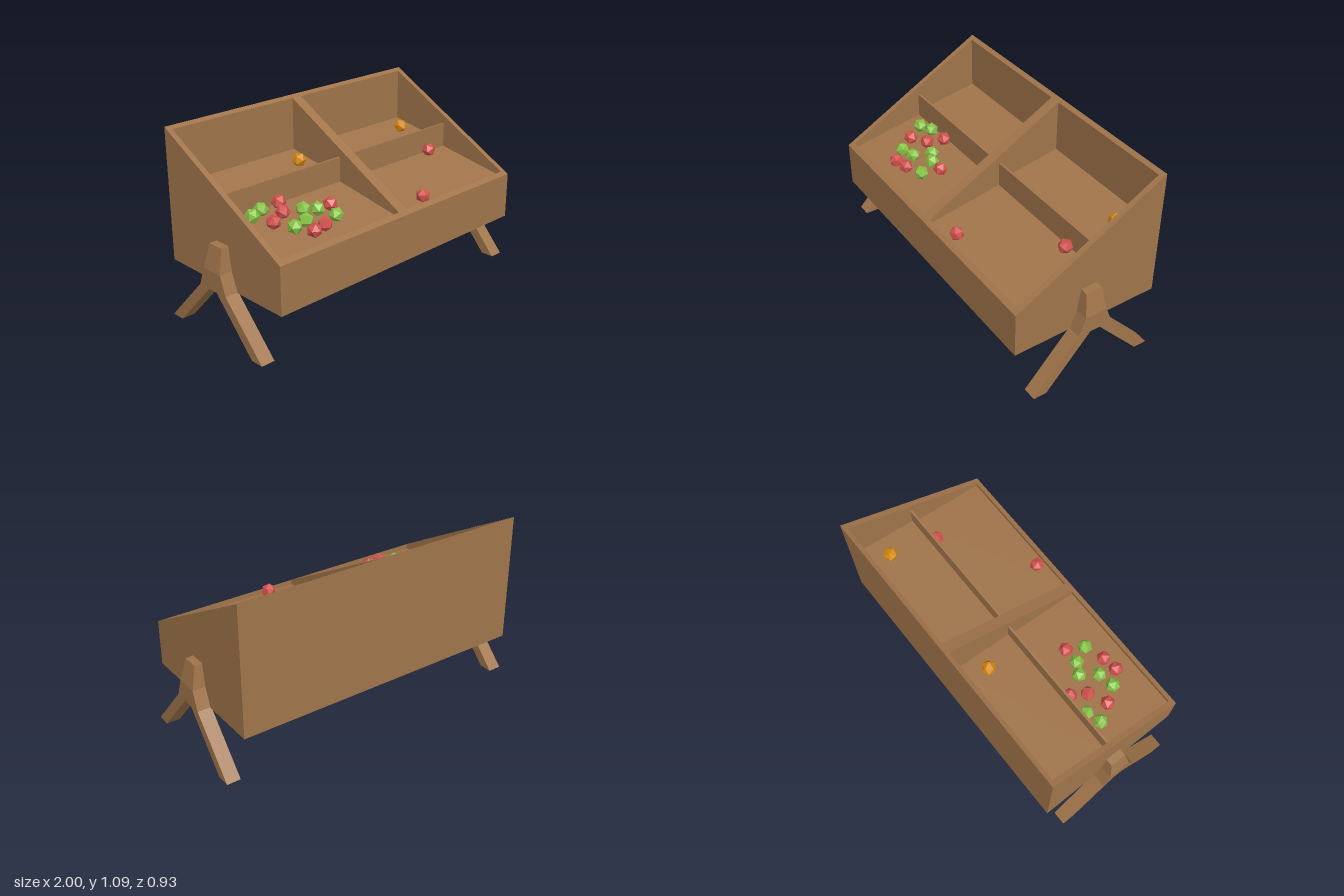
import * as THREE from 'three';

const mat = (name, color) => {
  const m = new THREE.MeshStandardMaterial({ color });
  m.name = name;
  return m;
};

export function createModel() {
  const group = new THREE.Group();
  group.name = 'produceStand';
  const wood = mat('wood', 0xa0744a);
  const fruitMats = {
    red: mat('red fruit', 0xd0504c),
    green: mat('green fruit', 0x86c244),
    orange: mat('orange fruit', 0xd68a08),
  };

  const add = (name, geo, material, parent = group) => {
    const mesh = new THREE.Mesh(geo, material);
    mesh.name = name;
    parent.add(mesh);
    return mesh;
  };

  // Profile of [z, y] points extruded along x from x0 to x1
  const extrudeX = (pts, x0, x1) => {
    const shape = new THREE.Shape(pts.map(([z, y]) => new THREE.Vector2(-z, y)));
    const geo = new THREE.ExtrudeGeometry(shape, { depth: x1 - x0, bevelEnabled: false });
    return geo.rotateY(Math.PI / 2).translate(x0, 0, 0);
  };

  // Bin shell: sloping rim, front at z = 0.465
  const W = 0.922, D = 0.465, B = 0.31, T = 0.033;
  const rim = z => 0.59 + (D - z) * 0.543;
  const slab = (z0, z1) => [[z0, B], [z1, B], [z1, rim(z1)], [z0, rim(z0)]];
  const inX = W - T;
  add('leftSide', extrudeX(slab(-D, D), inX, W), wood);
  add('rightSide', extrudeX(slab(-D, D), -W, -inX), wood);
  add('frontBoard', extrudeX(slab(D - 0.03, D), -inX, inX), wood);
  add('backBoard', extrudeX(slab(-D, -D + 0.026), -inX, inX), wood);
  add('centreDivider', extrudeX(slab(-D + 0.026, D - 0.03), -0.034, 0.032), wood);

  // Two stepped, gently sloping floors with a lip between them
  const lower = z => 0.655 - 0.18 * z;
  const upper = z => 0.69 - 0.18 * (z + 0.04);
  for (const [side, x0, x1] of [['right', -inX, -0.034], ['left', 0.032, inX]]) {
    const f = D - 0.03, b = -D + 0.026, s0 = -0.046, s1 = -0.032;
    add(side + 'LowerFloor', extrudeX([[s1, B], [f, B], [f, lower(f)], [s1, lower(s1)]], x0, x1), wood);
    add(side + 'StepLip', extrudeX([[s0, B], [s1, B], [s1, 0.812], [s0, 0.812]], x0, x1), wood);
    add(side + 'UpperFloor', extrudeX([[b, B], [s0, B], [s0, upper(s0)], [b, upper(b)]], x0, x1), wood);
  }

  // Forked legs: tapered head above two splayed feet
  const mirrorZ = half => [...half, ...half.slice().reverse().map(([z, y]) => [-z, y])];
  for (const [name, side, foot] of [['leftLeg', 1, 0.003], ['rightLeg', -1, 0.02]]) {
    const leg = new THREE.Group();
    leg.name = name;
    group.add(leg);
    const span = side > 0 ? [0.916, 1] : [-1, -0.916];
    const fork = mirrorZ([[0.07, 0.425], [0.11, 0.315], [0.39, foot], [0.308, foot], [0.032, 0.312]]);
    add(name + 'Fork', extrudeX(fork, ...span), wood, leg);
    const head = extrudeX(mirrorZ([[0.05, 0.563], [0.07, 0.425]]), ...span);
    const p = head.attributes.position;
    for (let i = 0; i < p.count; i++) {
      if (p.getY(i) > 0.5 && Math.abs(p.getX(i)) > 0.95) p.setX(i, side * 0.968);
    }
    head.computeVertexNormals();
    add(name + 'Head', head, wood, leg);
  }

  // Faceted fruit resting on the floors, as [x, z]
  const fruit = {
    red: [[-0.53, 0], [-0.58, 0.09], [-0.69, 0.145], [-0.3, 0.165], [-0.56, 0.32],
      [-0.47, 0.305], [0.71, 0], [0.23, 0.38]],
    green: [[-0.75, 0.04], [-0.665, 0.01], [-0.465, 0.125], [-0.395, 0.165],
      [-0.625, 0.24], [-0.53, 0.22], [-0.35, 0.265]],
    orange: [[-0.14, -0.27], [0.76, -0.29]],
  };
  const ball = new THREE.IcosahedronGeometry(0.044, 0);
  for (const [colour, spots] of Object.entries(fruit)) {
    spots.forEach(([x, z], i) => {
      const m = add(colour + 'Fruit' + (i + 1), ball, fruitMats[colour]);
      m.position.set(x, (z < -0.04 ? upper(z) : lower(z)) + 0.03, z);
      m.rotation.set(0.4 + i * 0.7, i * 1.3, 0.2);
    });
  }
  return group;
}
